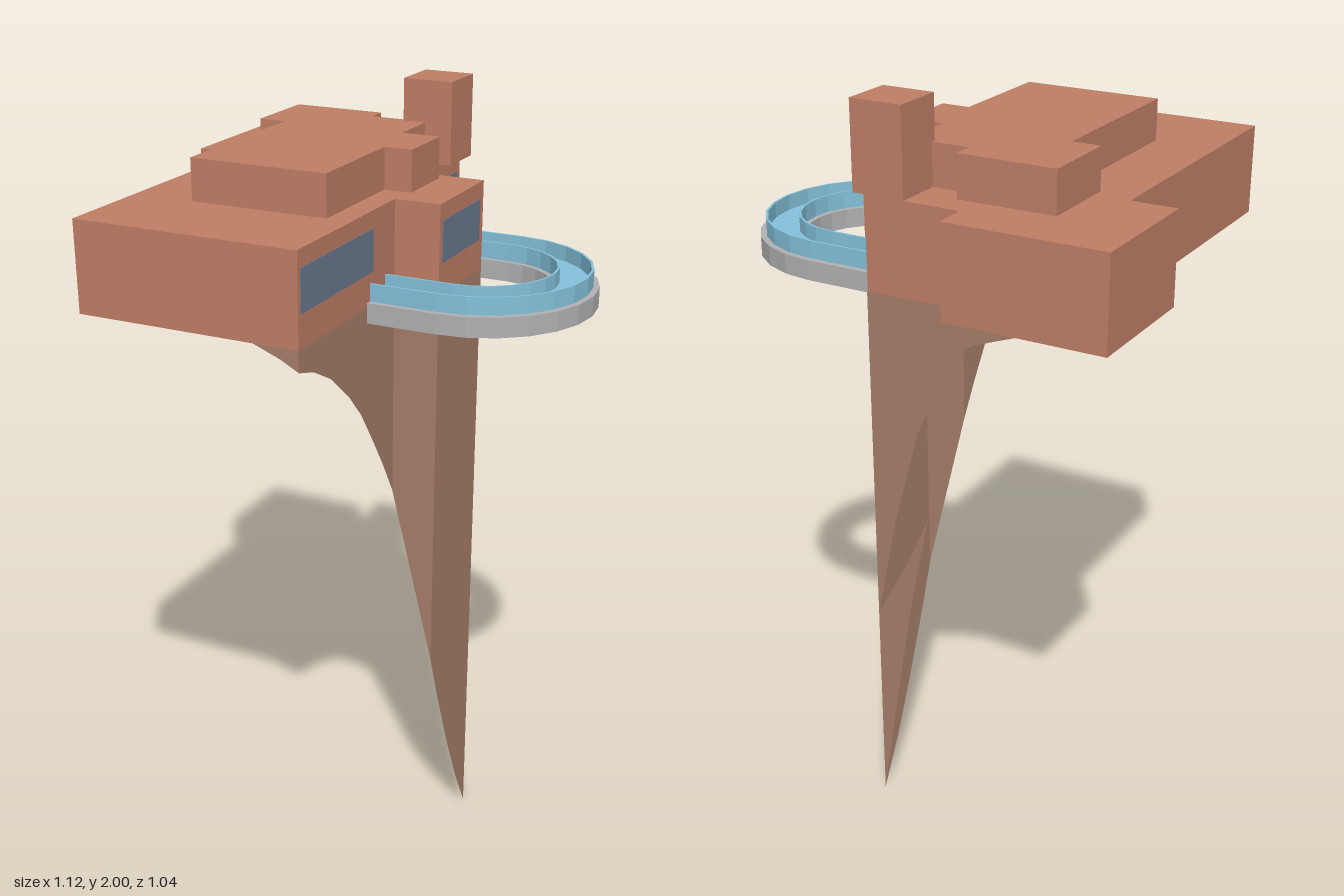
import * as THREE from 'three';
import { mergeGeometries } from 'three/addons/utils/BufferGeometryUtils.js';

const mat = (name, color, side = THREE.FrontSide) => {
  const m = new THREE.MeshStandardMaterial({ color, side });
  m.name = name;
  return m;
};

export function createModel() {
  const group = new THREE.Group();
  const clay = mat('terracotta', 0xbf7e66, THREE.DoubleSide);
  const rock = mat('brown rock', 0xa67e69, THREE.DoubleSide);
  const glass = mat('window blue grey', 0x6a7a8e);
  const blue = mat('deck blue', 0x84c1da);
  const steel = mat('steel grey', 0xb1b1b3);

  const add = (name, geo, material) => {
    const mesh = new THREE.Mesh(geo, material);
    mesh.name = name;
    group.add(mesh);
  };
  const outline = (pts) => new THREE.Shape(pts.map(([x, z]) => new THREE.Vector2(x, -z)));

  // Upright walls along a path of [x, z, bottom] points, up to one level
  const walls = (path, top) => {
    const verts = [];
    for (let i = 0; i < path.length - 1; i++) {
      const [ax, az, ay] = path[i], [bx, bz, by] = path[i + 1];
      verts.push(ax, ay, az, ax, top, az, bx, top, bz, ax, ay, az, bx, top, bz, bx, by, bz);
    }
    const geo = new THREE.BufferGeometry();
    geo.setAttribute('position', new THREE.Float32BufferAttribute(verts, 3));
    geo.computeVertexNormals();
    return geo;
  };

  // Storey: walls and flat roof, open underneath
  const storey = (name, pts, y0, y1) => {
    const roof = new THREE.ShapeGeometry(outline(pts)).toNonIndexed();
    roof.deleteAttribute('uv');
    roof.rotateX(-Math.PI / 2).translate(0, y1, 0);
    const sides = walls([...pts, pts[0]].map(([x, z]) => [x, z, y0]), y1);
    add(name, mergeGeometries([sides, roof]), clay);
  };
  const base = 1.577, roofY = 1.796, tierY = 1.896;
  storey('mainStorey', [
    [-0.559, -0.518], [-0.172, -0.518], [-0.172, -0.438], [0.066, -0.438], [0.066, -0.209], [0.227, -0.209],
    [0.227, 0.046], [0.113, 0.046], [0.113, 0.515], [-0.447, 0.518], [-0.447, -0.195], [-0.559, -0.195],
  ], base, roofY);
  storey('upperTier', [
    [-0.363, -0.37], [-0.125, -0.37], [-0.125, -0.32], [0.025, -0.32], [0.025, -0.178], [0.123, -0.178],
    [0.123, -0.021], [0.053, -0.021], [0.053, 0.27], [-0.292, 0.272], [-0.292, -0.168], [-0.363, -0.168],
  ], roofY, tierY);
  storey('chimney', [[-0.033, -0.438], [0.096, -0.438], [0.096, -0.308], [-0.033, -0.308]], roofY, 2);

  // Window strips on the three stepped right-hand walls
  for (const [x, z0, z1] of [[0.113, 0.16, 0.503], [0.227, -0.188, 0.03], [0.066, -0.418, -0.327]]) {
    const geo = new THREE.BoxGeometry(0.003, 0.1, z1 - z0);
    add('window', geo.translate(x, 1.705, (z0 + z1) / 2), glass);
  }

  // Rock support: thin stepped walls with a ragged, tapering lower edge
  add('rockSupport', walls([
    [-0.35, -0.518, base], [-0.25, -0.518, 1.54], [-0.172, -0.518, 1.49],
    [-0.172, -0.438, 1.5], [-0.11, -0.438, 1.38], [-0.055, -0.438, 1.255], [0.01, -0.438, 1.02],
    [0.066, -0.438, 0.75], [0.066, -0.3, 0.825], [0.066, -0.209, 0.9],
    [0.12, -0.209, 0.65], [0.17, -0.209, 0.36], [0.227, -0.209, 0],
    [0.227, -0.14, 0.13], [0.227, -0.07, 0.29], [0.227, 0, 0.47], [0.227, 0.046, 0.6],
    [0.113, 0.046, 1.06], [0.113, 0.1, 1.15], [0.113, 0.16, 1.24], [0.113, 0.22, 1.325],
    [0.113, 0.28, 1.39], [0.113, 0.37, 1.465], [0.113, 0.45, 1.508], [0.113, 0.515, 1.527],
    [0.07, 0.515, 1.55], [0, 0.515, base],
  ], base), rock);

  // U-shaped skywalk made of concentric bands
  const cx = 0.28, cz = -0.0875, steps = 12;
  const band = (name, r0, r1, y0, y1, material) => {
    const arc = (r) => {
      const pts = [[0.069, cz - r]];
      for (let k = 0; k <= steps; k++) {
        const t = -Math.PI / 2 + (Math.PI * k) / steps;
        pts.push([cx + r * Math.cos(t), cz + r * Math.sin(t)]);
      }
      pts.push([0.113, cz + r]);
      return pts;
    };
    const shape = outline([...arc(r1), ...arc(r0).reverse()]);
    const geo = new THREE.ExtrudeGeometry(shape, { depth: y1 - y0, bevelEnabled: false });
    add(name, geo.rotateX(-Math.PI / 2).translate(0, y0, 0), material);
  };
  band('outerGirder', 0.246, 0.278, 1.54, 1.588, steel);
  band('innerGirder', 0.164, 0.195, 1.54, 1.588, steel);
  band('walkwayFraming', 0.195, 0.246, 1.582, 1.586, steel);
  band('walkwayFloor', 0.182, 0.258, 1.586, 1.593, blue);
  band('outerGlassRail', 0.257, 0.263, 1.588, 1.63, blue);
  band('innerGlassRail', 0.177, 0.183, 1.588, 1.63, blue);

  return group;
}
